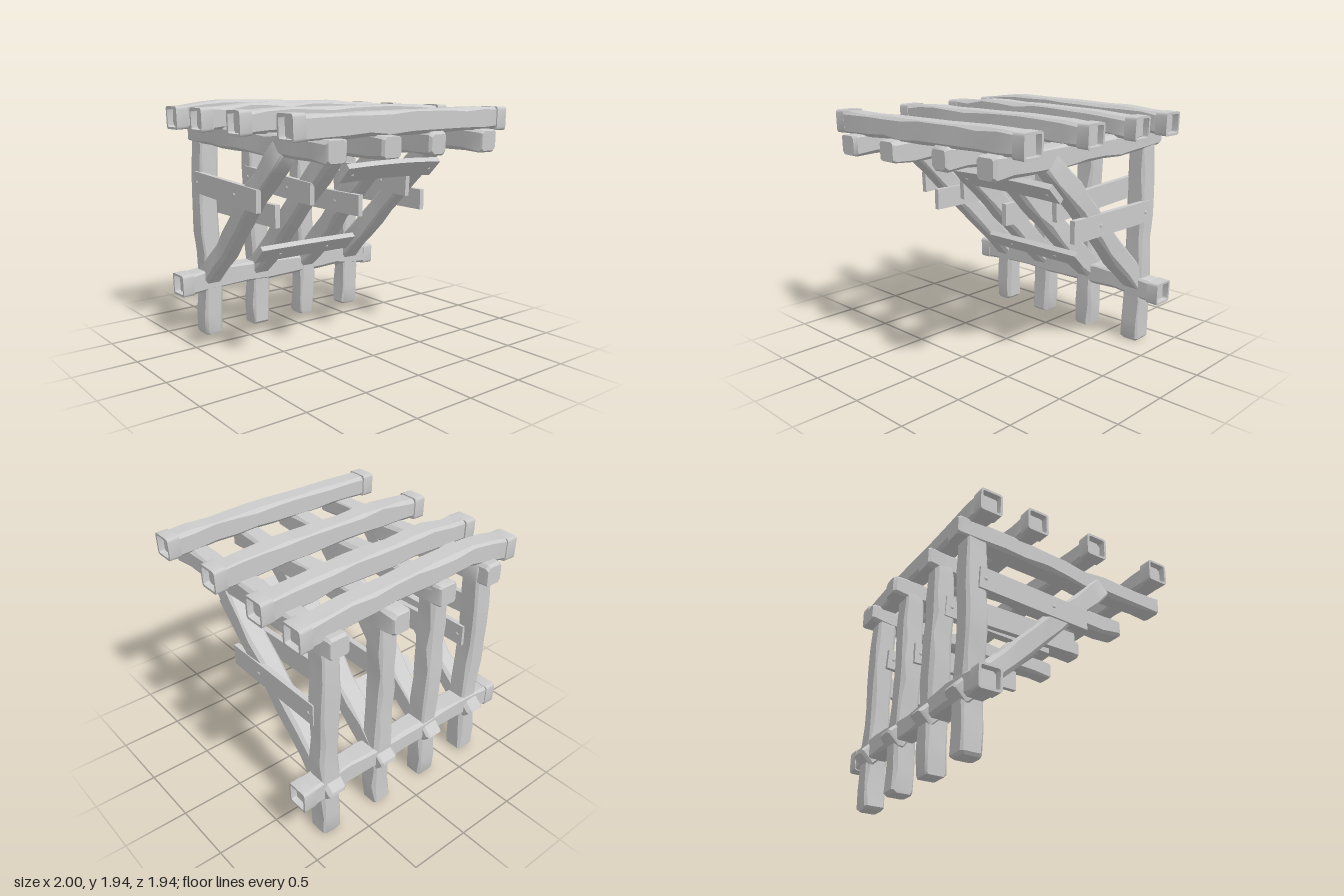
import * as THREE from 'three';
import { toCreasedNormals } from 'three/addons/utils/BufferGeometryUtils.js';

const material = new THREE.MeshStandardMaterial({ color: 0xcccccc });
const V = (x, y, z) => new THREE.Vector3(x, y, z);
const X = V(1, 0, 0), Z = V(0, 0, 1);

// seeded random numbers in -1..1
let seed = 7;
function rnd() {
  seed = (seed * 16807) % 2147483647;
  return (seed / 2147483647) * 2 - 1;
}

function add(group, name, geometry) {
  const mesh = new THREE.Mesh(geometry, material);
  mesh.name = name;
  group.add(mesh);
  return mesh;
}

// rough-hewn timber: bevelled rectangle swept along a path; width is measured along "side"
function timber(path, width, height, side, rough = 0.007) {
  const curve = new THREE.CatmullRomCurve3(path);
  const t = path[path.length - 1].clone().sub(path[0]).normalize();
  const v = t.clone().cross(side);
  const a = width / 2, b = height / 2;
  const steps = [0, 0.012, 0.1, 0.2, 0.3, 0.4, 0.5, 0.6, 0.7, 0.8, 0.9, 0.988, 1];
  const pos = [], idx = [];
  steps.forEach((s, i) => {
    const end = i === 0 || i === steps.length - 1;
    const c = curve.getPointAt(s);
    const k = end ? 0.86 : 1;
    // wandering side positions and a separately worn bevel on each corner
    const [r, l, u, d] = [0, 0, 0, 0].map(() => rnd() * rough);
    const [e, f, g, h] = [0, 0, 0, 0].map(() => 0.02 + rnd() * 0.011);
    const section = [
      [a + r, -b + d + e], [a + r, b + u - f], [a + r - f, b + u], [-a + l + g, b + u],
      [-a + l, b + u - g], [-a + l, -b + d + h], [-a + l + h, -b + d], [a + r - e, -b + d],
    ];
    for (const [p, q] of section) {
      const P = c.clone().addScaledVector(side, p * k).addScaledVector(v, q * k);
      pos.push(P.x, P.y, P.z);
    }
  });
  const n = 8, last = steps.length - 1;
  for (let i = 0; i < last; i++) {
    for (let j = 0; j < n; j++) {
      const p = i * n + j, q = i * n + (j + 1) % n;
      idx.push(p, q, p + n, q, q + n, p + n);
    }
  }
  for (let j = 1; j < n - 1; j++) {
    idx.push(0, j + 1, j, last * n, last * n + j, last * n + j + 1);
  }
  const geometry = new THREE.BufferGeometry();
  geometry.setAttribute('position', new THREE.Float32BufferAttribute(pos, 3));
  geometry.setIndex(idx);
  return toCreasedNormals(geometry, 0.6);
}

// rounded square outline for the sleeves
function roundedSquare(target, h, r) {
  target.moveTo(h, -h + r);
  target.lineTo(h, h - r);
  target.quadraticCurveTo(h, h, h - r, h);
  target.lineTo(-h + r, h);
  target.quadraticCurveTo(-h, h, -h, h - r);
  target.lineTo(-h, -h + r);
  target.quadraticCurveTo(-h, -h, -h + r, -h);
  target.lineTo(h - r, -h);
  target.quadraticCurveTo(h, -h, h, -h + r);
  return target;
}

function sleeveGeometry() {
  const shape = roundedSquare(new THREE.Shape(), 0.09, 0.025);
  shape.holes.push(roundedSquare(new THREE.Path(), 0.072, 0.015));
  const g = new THREE.ExtrudeGeometry(shape, { depth: 0.1, bevelEnabled: false, curveSegments: 3 });
  return toCreasedNormals(g.translate(0, 0, -0.05).rotateY(Math.PI / 2), 0.6);
}

// thin board with nail heads; length runs along x, face looks to +z
function plank(name, length, width, nails, thickness = 0.04, bow = 0.012) {
  const group = new THREE.Group();
  group.name = name;
  const g = new THREE.BoxGeometry(length, width, thickness, 8, 1, 1);
  const p = g.attributes.position;
  const bend = (x) => bow * (1 - (2 * x / length) ** 2);
  for (let i = 0; i < p.count; i++) p.setY(i, p.getY(i) + bend(p.getX(i)));
  add(group, 'board', toCreasedNormals(g, 0.6));
  for (const x of nails) {
    const head = add(group, 'nail', new THREE.SphereGeometry(0.015, 8, 6));
    head.scale.z = 0.5;
    head.position.set(x, 0, thickness / 2);
  }
  return group;
}

export function createModel() {
  seed = 7;
  const model = new THREE.Group();
  model.name = 'timberAwning';

  // four frames: post, rafter and diagonal brace
  const frames = [
    { x: -0.72, sway: -0.015, front: 0.97, back: -0.93 },
    { x: -0.25, sway: -0.01, front: 0.97, back: -0.92 },
    { x: 0.24, sway: -0.015, front: 0.91, back: -0.97 },
    { x: 0.735, sway: 0.01, front: 0.95, back: -0.93 },
  ];
  frames.forEach(({ x, sway, front, back }) => {
    add(model, 'post', timber(
      [V(x, 0.01, -0.78), V(x + 0.01, 0.5, -0.775), V(x + sway, 1, -0.775), V(x, 1.77, -0.775)],
      0.16, 0.165, X));
    add(model, 'rafter', timber(
      [V(x, 1.665, front), V(x - sway, 1.67, 0.3), V(x + sway, 1.685, -0.3), V(x, 1.71, back)],
      0.165, 0.165, X));
    add(model, 'brace', timber(
      [V(x, 1.66, 0.395), V(x + sway, 1.2, -0.065), V(x - sway, 0.8, -0.465), V(x, 0.40, -0.875)],
      0.16, 0.165, X));
  });

  // cross beams: [z, end height, rise at left, centre and right, sideways bow]
  const beams = [
    [0.79, 1.82, 0, 0, 0.005, 0.02],
    [0.16, 1.82, 0.015, 0.02, 0.01, 0.015],
    [-0.385, 1.82, 0.03, 0.03, 0.02, 0.01],
    [-0.785, 1.82, 0.045, 0.04, 0.025, 0.018],
    [-0.78, 0.465, 0.03, 0.02, 0.03, 0.005],
  ];
  const sleeve = sleeveGeometry();
  beams.forEach(([z, y, l, c, r, bow], i) => {
    add(model, i < 4 ? 'roofBeam' : 'lowerBeam', timber([
      V(-0.95, y, z), V(-0.58, y + l, z + bow), V(0, y + c, z + bow),
      V(0.55, y + r, z + bow * 0.3), V(0.95, y, z),
    ], 0.165, 0.168, Z, 0.006));
    for (const s of [-1, 1]) {
      const cap = add(model, 'endSleeve', sleeve);
      cap.position.set(s * 0.949, y, z);
      cap.rotation.z = s * -0.03;
    }
  });

  // side planks tying posts to braces: [x, height, slope]
  const ties = [
    [-0.81, 1.28, 0.05], [-0.65, 1.13, 0], [-0.335, 1.29, 0.05],
    [0.14, 1.13, 0], [0.645, 1.27, 0.05], [0.815, 1.115, 0],
  ];
  ties.forEach(([x, y, slope]) => {
    const p = plank('sidePlank', 0.94, 0.172, [-0.16, 0.42], 0.042, 0);
    p.rotation.order = 'YXZ';
    const outward = x > 0.7 || x === -0.65 ? 1 : -1;
    p.rotation.set(0, outward * Math.PI / 2, slope * outward);
    p.position.set(x, y, -0.3);
    if (outward < 0) p.children.slice(1).forEach((n) => { n.position.x *= -1; });
    model.add(p);
  });

  // planks across the underside of the braces: [centre x, y, z, nail positions, tilt, bow]
  const straps = [
    [0.31, 1.417, 0.325, [-0.4, 0.41], -0.012, 0.02],
    [-0.01, 0.715, -0.375, [-0.27, 0.215], -0.004, 0.005],
  ];
  straps.forEach(([x, y, z, nails, tilt, bow]) => {
    const p = plank('frontPlank', 0.96, 0.175, nails, 0.045, bow);
    p.position.set(x, y, z);
    p.rotation.set(Math.PI / 4, 0, tilt);
    model.add(p);
  });

  return model;
}
